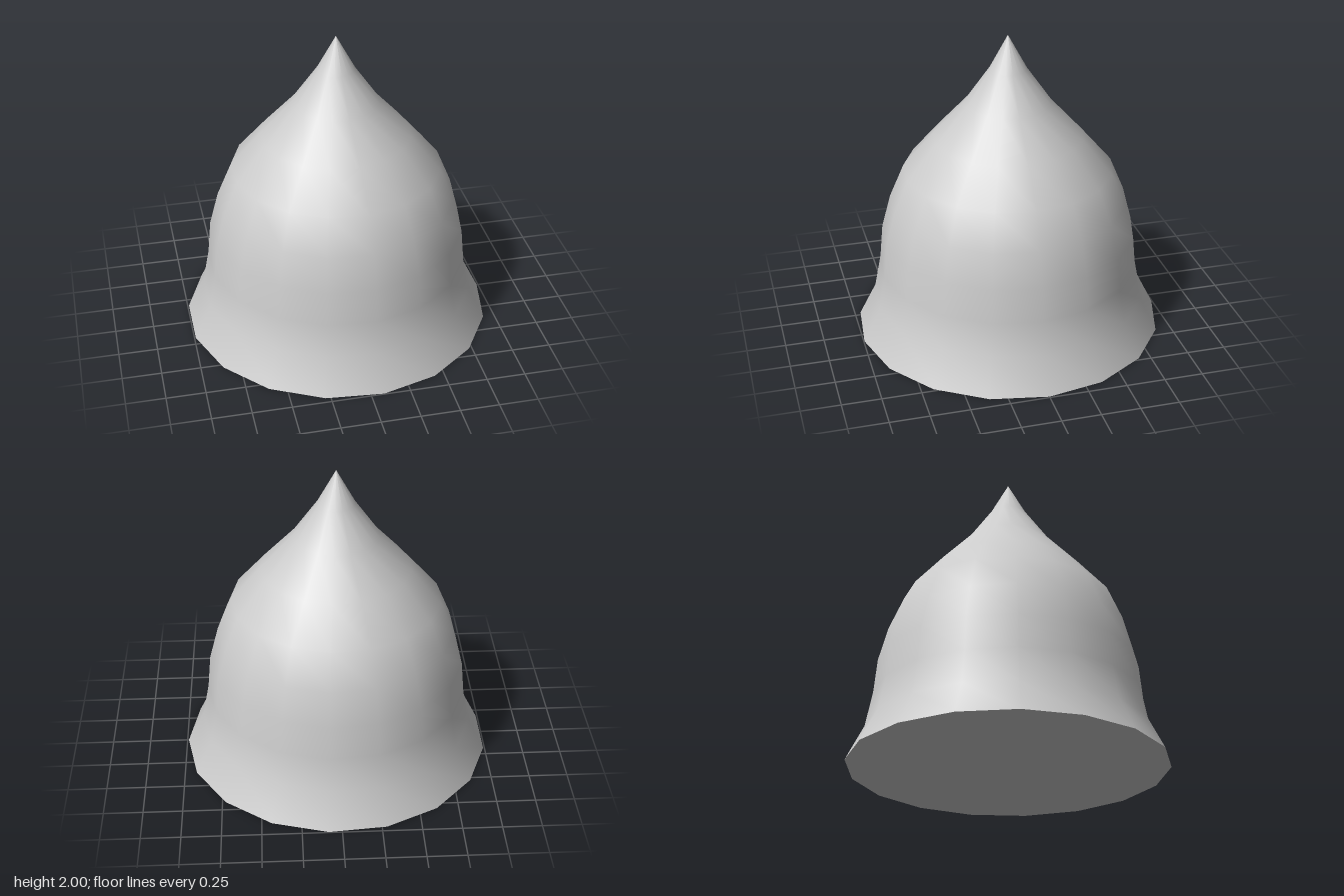
import * as THREE from 'three';

const SIDES = 17;

export function createModel() {
  const group = new THREE.Group();
  group.name = 'bell';
  const material = new THREE.MeshStandardMaterial({ color: 0xcccccc });

  // Radii at ten evenly spaced heights, from the flared rim to the pointed tip
  const radii = [1, 0.889, 0.846, 0.825, 0.766, 0.672, 0.48, 0.275, 0.12, 0];
  const profile = radii.map((r, i) => new THREE.Vector2(r, (2 * i) / (radii.length - 1)));

  // Smooth bell-shaped body, with one corner on +x
  const body = new THREE.Mesh(new THREE.LatheGeometry(profile, SIDES, Math.PI / 2), material);
  body.name = 'body';
  group.add(body);

  // Flat cap closing the underside
  const base = new THREE.Mesh(new THREE.CircleGeometry(radii[0], SIDES).rotateX(Math.PI / 2), material);
  base.name = 'base';
  group.add(base);

  // An odd number of sides reaches less far on -x, so shift to centre it
  group.position.x = -(1 - Math.cos(Math.PI / SIDES)) / 2;
  return group;
}
